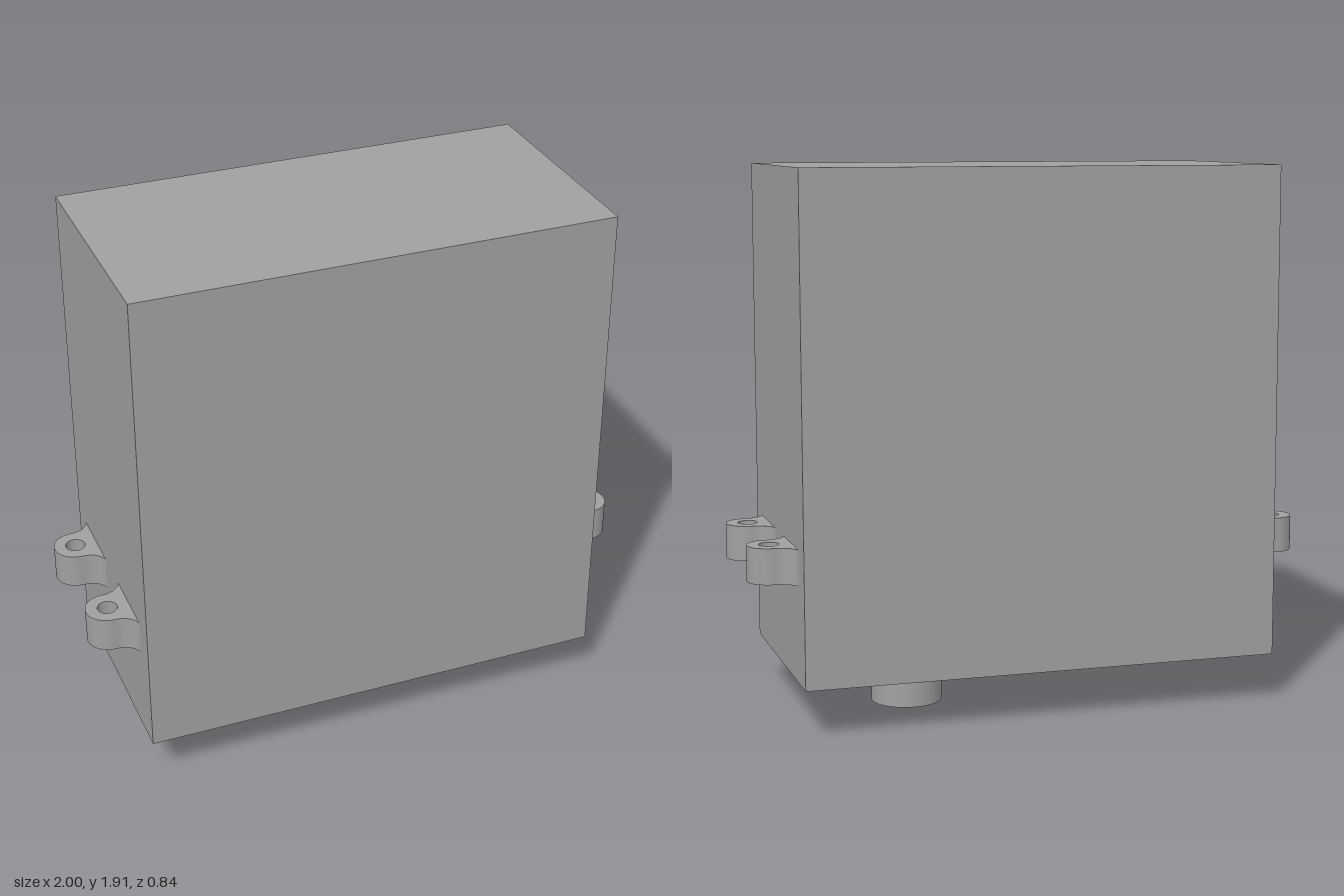
import * as THREE from 'three';
import { toCreasedNormals } from 'three/addons/utils/BufferGeometryUtils.js';

export function createModel() {
  const model = new THREE.Group();
  model.name = 'gearMotor';
  const grey = new THREE.MeshStandardMaterial({ color: 0xa0a0a0 });
  grey.name = 'grey';

  const add = (name, geometry, x, y, z) => {
    const mesh = new THREE.Mesh(geometry, grey);
    mesh.name = name;
    mesh.position.set(x, y, z);
    model.add(mesh);
    return mesh;
  };

  // Main housing
  const halfWidth = 0.847, bottom = 0.172, top = 1.907;
  add('housing', new THREE.BoxGeometry(halfWidth * 2, top - bottom, 0.842), 0, (top + bottom) / 2, 0);

  // Round stub under the housing
  const stubHeight = bottom + 0.01;
  add('stub', new THREE.CylinderGeometry(0.126, 0.126, stubHeight, 64), 0.394, stubHeight / 2, 0);

  // Mounting lug outline: flared root, round end and screw hole
  const eyeX = 0.923, radius = 0.077, root = 0.125;
  const outline = new THREE.Shape();
  outline.moveTo(halfWidth - 0.01, -root);
  outline.lineTo(halfWidth, -root);
  outline.bezierCurveTo(halfWidth + 0.012, -root + 0.03, eyeX - 0.04, -radius, eyeX, -radius);
  outline.absarc(eyeX, 0, radius, -Math.PI / 2, Math.PI / 2, false);
  outline.bezierCurveTo(eyeX - 0.04, radius, halfWidth + 0.012, root - 0.03, halfWidth, root);
  outline.lineTo(halfWidth - 0.01, root);
  outline.closePath();
  const hole = new THREE.Path();
  hole.absarc(eyeX, 0, 0.035, 0, Math.PI * 2, true);
  outline.holes.push(hole);

  const lug = toCreasedNormals(
    new THREE.ExtrudeGeometry(outline, { depth: 0.125, bevelEnabled: false, curveSegments: 24 }),
    0.6
  );
  lug.rotateX(-Math.PI / 2);

  // Two lugs on each side
  for (const side of [1, -1]) {
    for (const end of [1, -1]) {
      const name = `${side > 0 ? 'left' : 'right'}${end > 0 ? 'Front' : 'Back'}Lug`;
      add(name, lug, 0, 0.511, end * 0.205).rotation.y = side > 0 ? 0 : Math.PI;
    }
  }
  return model;
}
